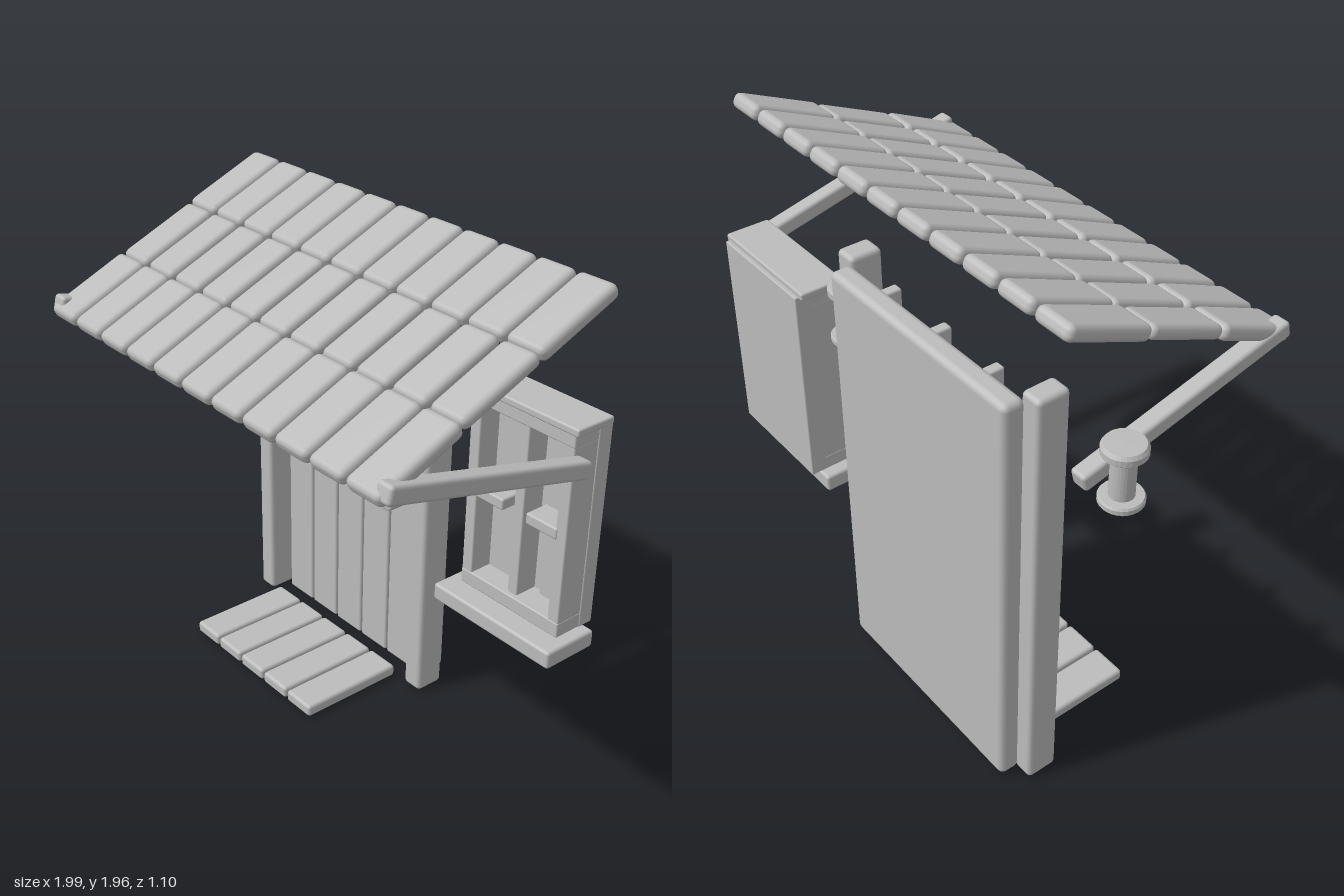
import * as THREE from 'three';
import { RoundedBoxGeometry } from 'three/addons/geometries/RoundedBoxGeometry.js';

export function createModel() {
  const root = new THREE.Group();
  root.name = 'doorAndWindowWithAwning';
  const grey = new THREE.MeshStandardMaterial({ color: 0xbcbcbc });
  grey.name = 'plainGrey';

  const group = (name) => {
    const g = new THREE.Group();
    g.name = name;
    root.add(g);
    return g;
  };
  const add = (parent, name, geometry) => {
    const m = new THREE.Mesh(geometry, grey);
    m.name = name;
    parent.add(m);
    return m;
  };
  // Rounded block given by its extents on each axis
  const block = (parent, name, [x0, x1], [y0, y1], [z0, z1], r = 0.01) => {
    const m = add(parent, name, new RoundedBoxGeometry(x1 - x0, y1 - y0, z1 - z0, 2, r));
    m.position.set((x0 + x1) / 2, (y0 + y1) / 2, (z0 + z1) / 2);
    return m;
  };
  // Rounded beam between two points in the side plane, given as [z, y]
  const beam = (parent, name, x, width, thick, [za, ya], [zb, yb], r) => {
    const length = Math.hypot(zb - za, yb - ya);
    const m = add(parent, name, new RoundedBoxGeometry(width, thick, length, 2, r));
    m.position.set(x, (ya + yb) / 2, (za + zb) / 2);
    m.rotation.x = Math.atan2(ya - yb, zb - za);
    return m;
  };

  // Door: backing slab, two posts, five planks
  const door = group('door');
  block(door, 'backPanel', [-0.77, 0.155], [0.01, 1.685], [-0.553, -0.468], 0.025);
  block(door, 'rightPost', [-0.835, -0.75], [0.005, 1.71], [-0.478, -0.355], 0.018);
  block(door, 'leftPost', [0.13, 0.22], [0.005, 1.71], [-0.478, -0.355], 0.018);
  for (let i = 0; i < 5; i++) {
    const x = -0.71 + i * 0.163;
    block(door, 'doorPlank', [x, x + 0.155], [0.02, 1.235], [-0.48, -0.425]);
  }
  block(door, 'crosspiece', [-0.57, -0.04], [1.155, 1.235], [-0.47, -0.42], 0.008);
  for (const x of [-0.575, -0.31, -0.04]) {
    block(door, 'transomBar', [x - 0.02, x + 0.02], [1.13, 1.67], [-0.48, -0.41], 0.008);
  }

  // Door knob
  const knob = add(door, 'knob', new THREE.LatheGeometry(
    [[0, 0], [0.035, 0], [0.035, 0.085], [0.03, 0.095], [0, 0.095]].map((p) => new THREE.Vector2(...p)), 20));
  knob.rotation.x = Math.PI / 2;
  knob.position.set(0.012, 0.8, -0.425);

  // Step made of five planks
  const step = group('step');
  for (let i = 0; i < 5; i++) {
    const x = -0.69 + i * 0.155;
    block(step, 'stepPlank', [x, x + 0.145], [0.005, 0.055], [-0.355, 0.095], 0.014);
  }

  // Window: back, frame, sill, mullion and crossbars
  const win = group('window');
  block(win, 'windowBack', [0.405, 0.89], [0.63, 1.44], [-0.55, -0.485], 0.005);
  block(win, 'sill', [0.355, 0.935], [0.56, 0.63], [-0.515, -0.28], 0.012);
  block(win, 'header', [0.385, 0.905], [1.43, 1.46], [-0.535, -0.36], 0.008);
  block(win, 'lintel', [0.405, 0.887], [1.38, 1.432], [-0.495, -0.37], 0.006);
  block(win, 'bottomRail', [0.405, 0.887], [0.63, 0.69], [-0.495, -0.37], 0.006);
  for (const side of [-1, 1]) {
    const span = (a, b) => [a, b].map((d) => 0.646 + side * d).sort((p, q) => p - q);
    block(win, 'stile', span(0.19, 0.24), [0.685, 1.385], [-0.495, -0.372], 0.006);
    block(win, 'sashPanel', span(0.062, 0.2), [0.685, 1.385], [-0.49, -0.465], 0.005);
    block(win, 'crossbar', span(0.055, 0.2), [1.015, 1.06], [-0.48, -0.367], 0.008);
  }
  block(win, 'mullion', [0.623, 0.669], [0.685, 1.385], [-0.49, -0.39], 0.006);

  // Awning: eleven columns of three tiles on a slope
  const awning = group('awning');
  const slope = [[-0.418, 1.947], [-0.092, 1.808], [0.22, 1.674], [0.54, 1.532]];
  for (let c = 0; c < 11; c++) {
    const x = -0.806 + c * 0.169;
    for (let r = 0; r < 3; r++) {
      beam(awning, 'awningTile', x, r === 1 ? 0.152 : 0.159, r === 1 ? 0.052 : 0.058,
        slope[r], slope[r + 1], 0.024);
    }
  }

  // Arms holding the awning
  for (const x of [-0.857, 0.96]) {
    beam(awning, 'supportArm', x, 0.068, 0.066, [-0.335, 1.358], [0.53, 1.568], 0.014);
  }

  // Lanterns: rounded cap, slim body, flat base
  const profile = [[0, 0], [0.072, 0], [0.077, 0.006], [0.077, 0.022], [0.072, 0.029], [0.043, 0.03],
    [0.043, 0.188], [0.068, 0.189], [0.077, 0.198], [0.077, 0.22], [0.068, 0.233], [0, 0.235]];
  const lanternShape = new THREE.LatheGeometry(profile.map((p) => new THREE.Vector2(...p)), 28)
    .toNonIndexed();
  // Facet each profile band so the rims stay crisp
  lanternShape.computeVertexNormals();
  for (const [x, z] of [[-0.922, -0.21], [0.307, -0.387]]) {
    add(root, 'lantern', lanternShape).position.set(x, 1.257, z);
  }
  return root;
}
